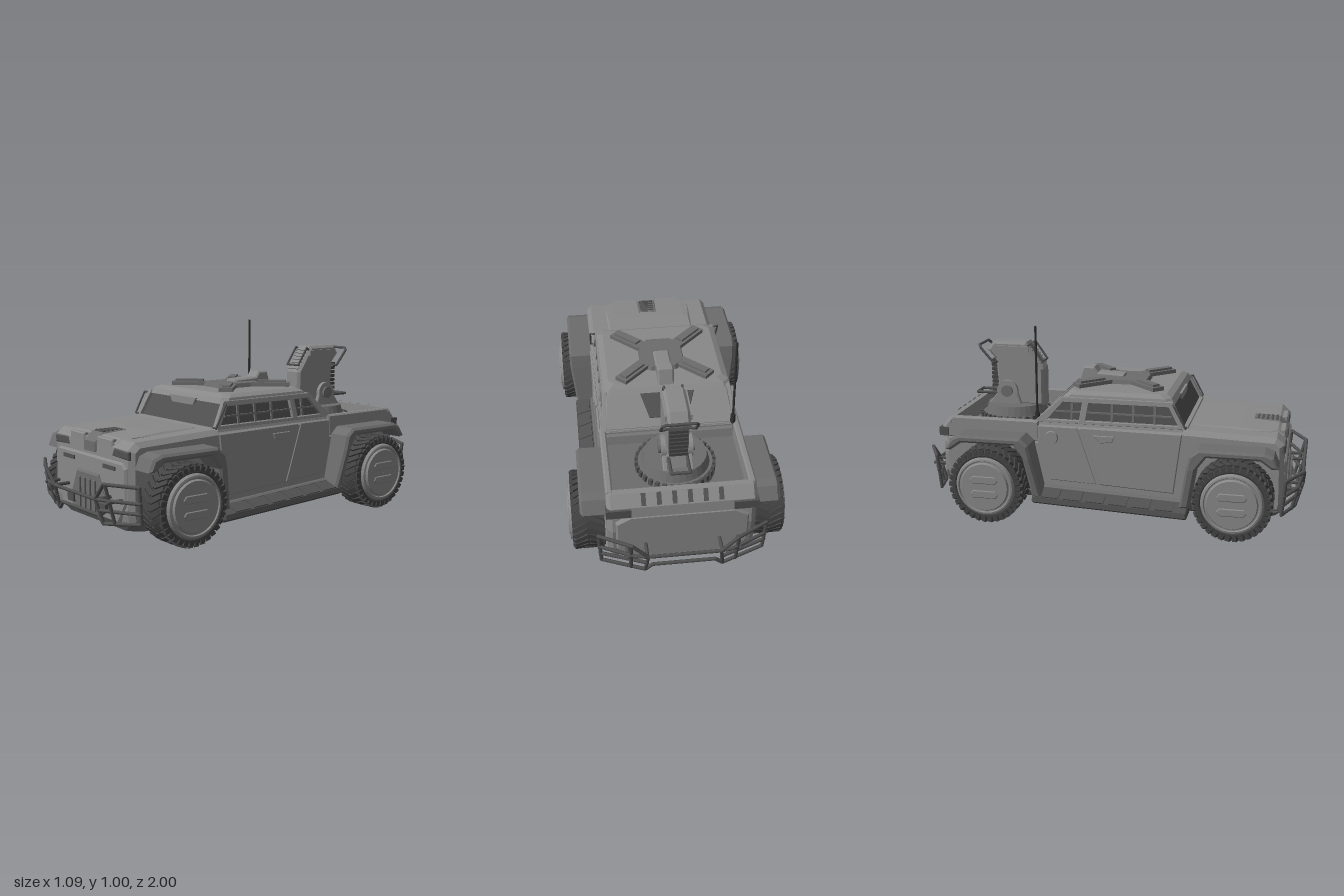
import * as THREE from 'three';
import { mergeGeometries } from 'three/addons/utils/BufferGeometryUtils.js';

const SIDES = [1, -1];
// Paint by part name; everything else wears the body colour
const BODY = 0x888888, TRIM = 0x6c6c6c, DARK = 0x505050, RUBBER = 0x444444, BLACK = 0x303030;
const paint = {};
const useColor = (color, names) => { for (const n of names.split(' ')) paint[n] = color; };
useColor(TRIM, 'frontFender rearFender grille grilleBar turretRing turretDisc roofPlate roofArm hoodVent sill windowBar windowRail pivotCap armPad bedFloor lowerBody');
useColor(DARK, 'glass rearWindow headlight tailLight tailgateSlot ventRib noseSlot fogLight frontGuard rearGuard step stepTread mirrorFrame rearHandle frontHandle lowerHandle ringTooth');
useColor(RUBBER, 'tyre tread axle coolingFin');
useColor(BLACK, 'skidPlate bellyPlate bellyRail bellyRib antenna antennaBase');

export function createModel() {
  const model = new THREE.Group();
  model.name = 'armouredPickup';

  const materials = {};
  const add = (name, geo, flatShading = true, parent = model) => {
    const color = paint[name] ?? BODY;
    const mat = materials[`${color} ${flatShading}`] ??= new THREE.MeshStandardMaterial({ color, flatShading, side: THREE.DoubleSide });
    const mesh = new THREE.Mesh(geo, mat);
    mesh.name = name;
    parent.add(mesh);
    return mesh;
  };
  const box = (name, w, h, d, x, y, z, rx = 0, ry = 0, rz = 0) => {
    const m = add(name, new THREE.BoxGeometry(w, h, d));
    m.position.set(x, y, z);
    m.rotation.set(rx, ry, rz, 'YXZ');
    return m;
  };
  const outline = (pts) => pts.map(([a, b]) => new THREE.Vector2(a, b));
  // Extruded plate centred on its depth, with chamfers kept inside the outline
  const plate = (pts, depth, bevel = 0, holes = []) => {
    const shape = new THREE.Shape(outline(pts));
    for (const h of holes) shape.holes.push(new THREE.Path(outline(h)));
    const core = depth - 2 * bevel;
    return new THREE.ExtrudeGeometry(shape, {
      depth: core, bevelEnabled: bevel > 0, bevelSize: bevel, bevelThickness: bevel, bevelOffset: -bevel, bevelSegments: 1,
    }).translate(0, 0, -core / 2);
  };
  // Profile in (z, y), spanning x0..x1
  const sidePlate = (pts, x0, x1, bevel, holes) =>
    plate(pts, x1 - x0, bevel, holes).rotateY(-Math.PI / 2).translate((x0 + x1) / 2, 0, 0);
  // One plate per side; lean(|x|, y) may move its vertices sideways
  const mirrorPlate = (name, pts, x0, x1, bevel, holes, lean) => {
    for (const s of SIDES) {
      const g = s > 0 ? sidePlate(pts, x0, x1, bevel, holes) : sidePlate(pts, -x1, -x0, bevel, holes);
      const p = g.attributes.position;
      if (lean) for (let i = 0; i < p.count; i++) p.setX(i, s * lean(s * p.getX(i), p.getY(i)));
      g.computeVertexNormals();
      add(name, g);
    }
  };
  // Stacked chamfered rectangles: [y, halfWidth, zFront, zBack, corner]
  const loft = (rings) => {
    const pos = [], idx = [];
    for (const [y, w, f, b, c] of rings) {
      const half = [[w - c, f], [w, f - c], [w, b + c], [w - c, b]];
      const ring = [...half, ...half.slice().reverse().map(([x, z]) => [-x, z])];
      for (const [x, z] of ring) pos.push(x, y, z);
    }
    for (let r = 0; r < rings.length - 1; r++) for (let i = 0; i < 8; i++) {
      const a = r * 8 + i, b = r * 8 + (i + 1) % 8;
      idx.push(a, b, b + 8, a, b + 8, a + 8);
    }
    const t = (rings.length - 1) * 8;
    for (let i = 1; i < 7; i++) idx.push(t, t + i, t + i + 1, 0, i + 1, i);
    const g = new THREE.BufferGeometry();
    g.setAttribute('position', new THREE.Float32BufferAttribute(pos, 3));
    g.setIndex(idx);
    g.computeVertexNormals();
    return g;
  };
  // Bent bar made of straight rods
  const bar = (name, pts, r = 0.008) => {
    const v = pts.map((p) => new THREE.Vector3(...p)), parts = [];
    for (let i = 0; i < v.length - 1; i++)
      parts.push(new THREE.TubeGeometry(new THREE.LineCurve3(v[i], v[i + 1]), 1, r, 8));
    for (const p of v) parts.push(new THREE.SphereGeometry(r, 8, 6).translate(p.x, p.y, p.z));
    add(name, mergeGeometries(parts), false);
  };
  const mirrorBar = (name, pts, r) => { for (const s of SIDES) bar(name, pts.map(([x, y, z]) => [s * x, y, z]), r); };
  const drum = (name, r0, r1, h, x, y, z, alongX = false) => {
    const m = add(name, new THREE.CylinderGeometry(r0, r1, h, 32));
    m.position.set(x, y, z);
    if (alongX) m.rotation.z = Math.PI / 2;
  };

  // Lower body with a step down to the cargo floor
  add('body', sidePlate([[0.885, 0.1], [0.895, 0.15], [0.89, 0.455], [0.85, 0.49], [0.4, 0.505], [-0.39, 0.505],
    [-0.39, 0.42], [-0.87, 0.42], [-0.885, 0.3], [-0.858, 0.115]], -0.36, 0.36, 0.025));
  box('bedFloor', 0.65, 0.006, 0.44, 0, 0.42, -0.605);
  mirrorPlate('bedWall', [[-0.36, 0.4], [-0.36, 0.512], [-0.83, 0.512], [-0.86, 0.4]], 0.325, 0.36, 0.008);
  add('tailgate', sidePlate([[-0.815, 0.4], [-0.815, 0.51], [-0.845, 0.51], [-0.89, 0.455], [-0.897, 0.4]], -0.36, 0.36, 0.018));
  for (let i = 0; i < 6; i++) box('tailgateSlot', 0.022, 0.012, 0.06, -0.185 + i * 0.074, 0.484, -0.867, -0.88);
  add('rearPanel', plate([[-0.28, 0.13], [-0.32, 0.2], [-0.32, 0.36], [-0.25, 0.4], [0.25, 0.4], [0.32, 0.36], [0.32, 0.2], [0.28, 0.13]], 0.03, 0.008).translate(0, 0, -0.882));
  for (const s of SIDES) box('tailLight', 0.12, 0.045, 0.05, s * 0.305, 0.428, -0.876);

  // Underside, rising gently towards the back
  const underside = new THREE.Group();
  underside.name = 'underside';
  underside.rotation.x = 0.025;
  model.add(underside);
  underside.add(
    add('lowerBody', loft([[0.081, 0.325, 0.855, -0.84, 0.06], [0.13, 0.356, 0.885, -0.862, 0.03]])),
    add('skidPlate', loft([[0.077, 0.31, 0.83, -0.82, 0.1], [0.083, 0.315, 0.84, -0.83, 0.1]])),
    add('bellyPlate', loft([[0.07, 0.16, 0.4, -0.42, 0.06], [0.08, 0.2, 0.45, -0.47, 0.06]])),
    ...SIDES.map((s) => box('bellyRail', 0.04, 0.01, 0.4, s * 0.09, 0.069, 0)),
  );
  for (let i = 0; i < 6; i++) underside.add(box('bellyRib', 0.22, 0.01, 0.02, 0, 0.076, 0.52 + i * 0.04));

  // Hood and nose
  add('hood', loft([[0.47, 0.255, 0.885, 0.41, 0.04], [0.495, 0.25, 0.85, 0.41, 0.04], [0.506, 0.235, 0.66, 0.42, 0.03]]));
  add('hoodVent', sidePlate([[0.72, 0.49], [0.72, 0.505], [0.85, 0.5], [0.898, 0.46], [0.898, 0.41], [0.86, 0.41]], -0.055, 0.055, 0.006));
  for (let i = 0; i < 5; i++) box('ventRib', 0.08, 0.008, 0.012, 0, 0.503, 0.74 + i * 0.024);
  add('nosePanel', plate([[-0.26, 0.1], [-0.33, 0.2], [-0.33, 0.37], [-0.3, 0.395], [0.3, 0.395], [0.33, 0.37], [0.33, 0.2], [0.26, 0.1]], 0.03, 0.01).translate(0, 0, 0.888));
  add('grille', plate([[-0.17, 0.14], [-0.15, 0.21], [-0.1, 0.31], [0.1, 0.31], [0.15, 0.21], [0.17, 0.14], [0.1, 0.1], [-0.1, 0.1]], 0.03, 0.008).translate(0, 0, 0.9));
  for (let i = 0; i < 4; i++) box('grilleBar', 0.03, 0.165, 0.014, -0.072 + i * 0.048, 0.195, 0.917);
  for (const s of SIDES) {
    box('noseSlot', 0.11, 0.02, 0.01, s * 0.19, 0.36, 0.902);
    box('fogLight', 0.06, 0.04, 0.02, s * 0.15, 0.16, 0.914);
    add('headlight', plate([[0.2, 0.415], [0.22, 0.455], [0.345, 0.45], [0.345, 0.41]].map(([x, y]) => [s * x, y]), 0.04, 0.006).translate(0, 0, 0.875));
    add('browPanel', plate([[0.06, 0.415], [0.06, 0.49], [0.2, 0.49], [0.2, 0.44], [0.185, 0.415]].map(([x, y]) => [s * x, y]), 0.03, 0.006).translate(0, 0, 0.875));
  }

  // Cabin: glass core, roof shell, sloped side frames and back
  add('glass', loft([[0.49, 0.335, 0.395, -0.375, 0.02], [0.64, 0.314, 0.318, -0.23, 0.02]]));
  add('roof', loft([[0.624, 0.332, 0.338, -0.255, 0.03], [0.652, 0.325, 0.32, -0.225, 0.03], [0.668, 0.295, 0.29, -0.2, 0.03]]));
  add('cowl', loft([[0.48, 0.352, 0.42, -0.395, 0.03], [0.511, 0.343, 0.405, -0.385, 0.03]]));
  add('visor', plate([[-0.115, 0.634], [-0.09, 0.598], [0.09, 0.598], [0.115, 0.634]], 0.02).translate(0, 0, 0.334));
  const lean = (x, y) => x - (y - 0.505) * 0.13;
  mirrorPlate('windowFrame', [[0.4, 0.505], [0.33, 0.64], [-0.24, 0.64], [-0.39, 0.505]], 0.324, 0.349, 0.003,
    [[[0.36, 0.522], [0.31, 0.612], [-0.1, 0.612], [-0.115, 0.522]], [[-0.15, 0.522], [-0.135, 0.612], [-0.235, 0.612], [-0.315, 0.522]]], lean);
  for (const s of SIDES) {
    for (const z of [0.24, 0.13, 0.02, -0.19]) box('windowBar', 0.012, 0.1, 0.012, s * 0.328, 0.563, z, 0, 0, s * 0.13);
    box('windowRail', 0.012, 0.008, 0.6, s * 0.328, 0.563, 0.025);
  }
  const slope = (name, pts, z) => {
    const m = add(name, plate(pts, 0.02, 0.004));
    m.position.set(0, 0.572, z);
    m.rotation.x = 0.78;
  };
  slope('cabBack', [[-0.33, -0.095], [0.33, -0.095], [0.31, 0.085], [-0.31, 0.085]], -0.306);
  slope('rearWindow', [[-0.1, -0.045], [0.1, -0.045], [0.14, 0.085], [-0.14, 0.085]], -0.31);
  mirrorBar('mirrorFrame', [[0.335, 0.515, 0.4], [0.358, 0.515, 0.4], [0.36, 0.625, 0.34], [0.325, 0.625, 0.33]], 0.005);

  // Roof cross with four arms
  add('roofPlate', loft([[0.66, 0.12, 0.16, -0.11, 0.05], [0.69, 0.11, 0.15, -0.1, 0.05]]));
  for (const s of SIDES) for (const t of SIDES) {
    const a = Math.atan2(s, t);
    box('roofArm', 0.07, 0.02, 0.2, s * 0.16, 0.679, 0.025 + t * 0.145, 0, a);
    box('armPad', 0.04, 0.012, 0.15, s * 0.165, 0.695, 0.025 + t * 0.15, 0, a);
  }
  add('roofSensor', sidePlate([[0.03, 0.67], [0.02, 0.702], [-0.12, 0.708], [-0.14, 0.737], [-0.2, 0.737], [-0.225, 0.66]], -0.042, 0.042, 0.008));
  bar('antenna', [[-0.325, 0.5, -0.375], [-0.325, 0.994, -0.375]], 0.006);
  drum('antennaBase', 0.012, 0.014, 0.05, -0.325, 0.53, -0.375);

  // Doors, sills and steps
  mirrorPlate('door', [[0.385, 0.485], [0.345, 0.17], [-0.04, 0.19], [-0.14, 0.49]], 0.35, 0.366, 0.005);
  mirrorPlate('rearQuarter', [[-0.155, 0.49], [-0.055, 0.19], [-0.3, 0.2], [-0.36, 0.42], [-0.36, 0.49]], 0.35, 0.364, 0.005);
  mirrorPlate('doorHandle', [[0.04, 0.455], [0.03, 0.425], [-0.03, 0.415], [-0.07, 0.45], [-0.07, 0.455]], 0.36, 0.372, 0.003);
  mirrorPlate('sill', [[0.42, 0.09], [0.42, 0.14], [-0.38, 0.175], [-0.38, 0.115]], 0.34, 0.38, 0.008);
  drum('fuelCap', 0.032, 0.036, 0.016, -0.368, 0.43, -0.29, true);
  for (const s of SIDES) {
    const step = add('step', plate([[0.33, 0.075], [0.33, 0.148], [0.39, 0.145], [0.46, 0.12], [0.465, 0.095], [0.44, 0.08]].map(([x, y]) => [s * x, y]), 0.8, 0.006));
    step.position.z = 0.02;
    step.rotation.x = 0.04;
    for (let i = 0; i < 6; i++) box('stepTread', 0.075, 0.008, 0.09, s * 0.422, 0.147 - i * 0.0047, -0.28 + i * 0.118, 0.04, 0, -s * 0.34);
  }

  // Angular wheel arches whose lower ends taper in towards the body
  const taper = (x, y) => (x > 0.4 && y < 0.35 ? x - (0.35 - y) * 0.12 : x);
  mirrorPlate('frontFender', [[0.87, 0.37], [0.845, 0.43], [0.8, 0.447], [0.48, 0.447], [0.435, 0.41], [0.42, 0.34], [0.385, 0.13], [0.435, 0.13],
    [0.47, 0.34], [0.52, 0.408], [0.78, 0.408], [0.835, 0.37]], 0.33, 0.485, 0.012, [], taper);
  mirrorPlate('rearFender', [[-0.325, 0.13], [-0.37, 0.34], [-0.385, 0.41], [-0.425, 0.447], [-0.75, 0.447], [-0.79, 0.43], [-0.83, 0.37], [-0.8, 0.365],
    [-0.74, 0.408], [-0.46, 0.408], [-0.415, 0.34], [-0.375, 0.13]], 0.33, 0.485, 0.012, [], taper);

  // Wheels with chevron tread
  const lathe = (pts) => new THREE.LatheGeometry(outline(pts), 48).rotateZ(-Math.PI / 2);
  const tyre = lathe([[0.12, -0.07], [0.165, -0.079], [0.184, -0.068], [0.191, 0], [0.184, 0.068], [0.165, 0.079], [0.155, 0.077], [0.15, 0.06]]);
  const hub = lathe([[0.001, -0.055], [0.154, -0.055], [0.154, 0.078], [0.147, 0.09], [0.138, 0.092], [0.134, 0.085], [0.128, 0.085], [0.122, 0.096], [0.001, 0.096]]);
  const lugs = [];
  for (let i = 0; i < 34; i++) for (const s of SIDES) {
    const a = (i / 34) * Math.PI * 2;
    lugs.push(new THREE.BoxGeometry(0.08, 0.02, 0.024).rotateY(s * 0.5).translate(s * 0.035, 0.187, 0).rotateX(a));
    lugs.push(new THREE.BoxGeometry(0.012, 0.024, 0.024).translate(s * 0.074, 0.175, s * 0.018).rotateX(a - 0.2));
  }
  const tread = mergeGeometries(lugs);
  for (const z of [0.655, -0.6]) for (const s of SIDES) {
    const wheel = new THREE.Group();
    wheel.name = 'wheel';
    wheel.position.set(s * 0.447, 0.198, z);
    wheel.rotation.y = s > 0 ? 0 : Math.PI;
    add('tyre', tyre, false, wheel);
    add('tread', tread, true, wheel);
    add('hub', hub, true, wheel);
    for (const y of [-0.038, 0.038])
      add('hubBar', sidePlate([[-0.075, y], [-0.06, y + 0.02], [0.06, y + 0.02], [0.075, y], [0.06, y - 0.02], [-0.06, y - 0.02]], 0.088, 0.1, 0.004), true, wheel);
    model.add(wheel);
    drum('axle', 0.03, 0.03, 0.1, s * 0.36, 0.198, z, true);
  }

  // Tubular guards
  const guard = (name, e, w) => {
    const rail = (pts) => mirrorBar(name, pts.map(([x, y, z]) => [x * w, y, e * z]), 0.009);
    rail([[0, 0.22, 0.985], [0.195, 0.22, 0.985], [0.28, 0.305, 0.99], [0.45, 0.305, 0.905], [0.44, 0.13, 0.89], [0.21, 0.1, 0.95], [0.17, 0.135, 0.955], [0, 0.135, 0.955]]);
    rail([[0.195, 0.22, 0.985], [0.26, 0.225, 0.98], [0.45, 0.23, 0.9]]);
    rail([[0.2, 0.165, 0.97], [0.445, 0.18, 0.895]]);
    rail([[0.285, 0.3, 0.985], [0.285, 0.11, 0.935]]);
    rail([[0.195, 0.22, 0.985], [0.21, 0.1, 0.95]]);
    for (const x of [0.2, 0.3]) rail([[x, 0.22, 0.975], [x, 0.22, 0.86]]);
  };
  guard('frontGuard', 1, 1);
  guard('rearGuard', -1, 0.9);

  // Turret on the cargo bed
  drum('turretRing', 0.185, 0.2, 0.05, 0, 0.445, -0.59);
  drum('turretDisc', 0.155, 0.17, 0.05, 0, 0.495, -0.59);
  for (let i = 0; i < 32; i++) {
    const a = (i / 32) * Math.PI * 2;
    box('ringTooth', 0.02, 0.03, 0.016, Math.sin(a) * 0.192, 0.46, -0.59 + Math.cos(a) * 0.192, 0, a);
  }
  add('turretBody', sidePlate([[-0.42, 0.51], [-0.42, 0.715], [-0.515, 0.858], [-0.7, 0.858], [-0.735, 0.81], [-0.69, 0.76], [-0.68, 0.62], [-0.71, 0.51]], -0.055, 0.055, 0.014));
  mirrorPlate('turretBracket', [[-0.54, 0.51], [-0.57, 0.6], [-0.66, 0.6], [-0.73, 0.51]], 0.05, 0.075, 0.005);
  for (let i = 0; i < 7; i++) {
    box('coolingFin', 0.09, 0.016, 0.05, 0, 0.61 + i * 0.023, -0.69);
    box('frontRib', 0.08, 0.01, 0.016, 0, 0.733 + i * 0.017, -0.434 - i * 0.0113, -0.59);
  }
  for (const s of SIDES) {
    drum('pivot', 0.058, 0.058, 0.03, s * 0.062, 0.59, -0.62, true);
    drum('pivotCap', 0.032, 0.032, 0.016, s * 0.08, 0.59, -0.62, true);
    box('sideRail', 0.014, 0.03, 0.2, s * 0.058, 0.82, -0.6);
  }
  mirrorBar('rearHandle', [[0, 0.84, -0.77], [0.07, 0.84, -0.77], [0.084, 0.825, -0.76], [0.084, 0.745, -0.69], [0.045, 0.745, -0.68]], 0.007);
  mirrorBar('frontHandle', [[0, 0.755, -0.425], [0.045, 0.755, -0.425], [0.045, 0.85, -0.49], [0.04, 0.83, -0.52]], 0.006);
  mirrorBar('lowerHandle', [[0.045, 0.57, -0.68], [0.045, 0.57, -0.8], [0, 0.57, -0.8]], 0.008);
  return model;
}
